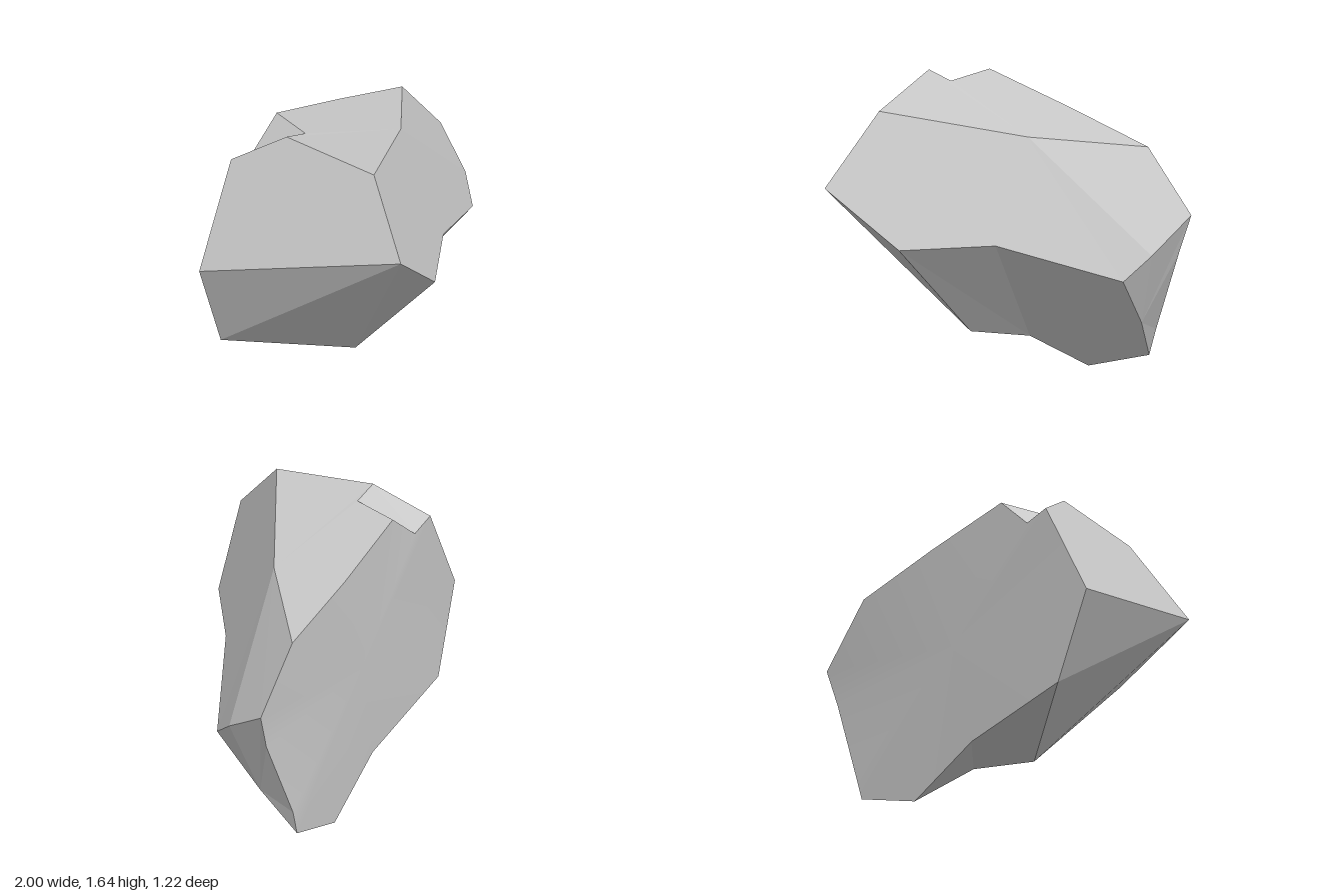
import * as THREE from 'three';
import { mergeVertices } from 'three/addons/utils/BufferGeometryUtils.js';

// Corners of the boulder, grouped by where they sit
const P = {
  // crest and notch
  A: [-0.57, 1.645, -0.30], B: [-0.50, 1.585, 0.285], K: [0.20, 1.45, -0.145], J: [0.70, 1.365, -0.585],
  S: [-0.42, 1.61, -0.295], T: [-0.35, 1.615, -0.57], U: [-0.56, 1.42, -0.58], V: [-0.71, 1.46, -0.585],
  Y: [0.17, 1.49, -0.59],
  // middle belt
  C: [-0.64, 1.20, 0.61], D: [-1.0, 0.885, -0.56], E: [-0.225, 0.885, 0.49], F: [0.20, 0.905, 0.17],
  G: [0.82, 0.72, -0.17], H: [0.915, 0.85, -0.31], I: [1.0, 1.03, -0.57], W: [0.925, 0.80, -0.56],
  // foot
  L: [-0.80, 0.375, -0.58], M: [-0.18, 0.24, -0.14], N: [0.05, 0.19, -0.38], O: [0.29, 0, -0.60],
  R: [-0.13, 0.232, -0.58], Q: [0.77, 0.40, -0.42], X: [0.735, 0.30, -0.612], Z: [0.69, 0.14, -0.61],
  // middle of the back
  o: [0, 0.85, -0.595],
};

// Each facet is a fan around its first corner, counter-clockwise from outside
const facets = {
  frontSlope: ['KBCEFGH', 'KHIJ'],
  leftSlope: ['DCBAV'],
  leftUnderside: ['DLC', 'CLM', 'CME'],
  frontUnderside: ['EMNF', 'FNOZQG'],
  rightSide: ['QZXWIHG'],
  bottom: ['RONML'],
  top: ['KJYTSAB'],
  notch: ['ASUV', 'STU'],
  back: ['oUTYJIWXZORLDVU'],
};

function facetGeometry(fans) {
  const pos = [];
  for (const f of fans) {
    for (let i = 1; i < f.length - 1; i++) pos.push(...P[f[0]], ...P[f[i]], ...P[f[i + 1]]);
  }
  const g = new THREE.BufferGeometry();
  g.setAttribute('position', new THREE.Float32BufferAttribute(pos, 3));
  return g;
}

export function createModel() {
  const stone = new THREE.MeshStandardMaterial({ color: 0xc8c8c8 });
  stone.name = 'light grey stone';
  const boulder = new THREE.Group();
  boulder.name = 'boulder';
  for (const [name, fans] of Object.entries(facets)) {
    let geometry = facetGeometry(fans);
    // the broad back is softly rounded, all other facets stay flat
    if (name === 'back') geometry = mergeVertices(geometry);
    geometry.computeVertexNormals();
    const mesh = new THREE.Mesh(geometry, stone);
    mesh.name = name;
    boulder.add(mesh);
  }
  return boulder;
}
